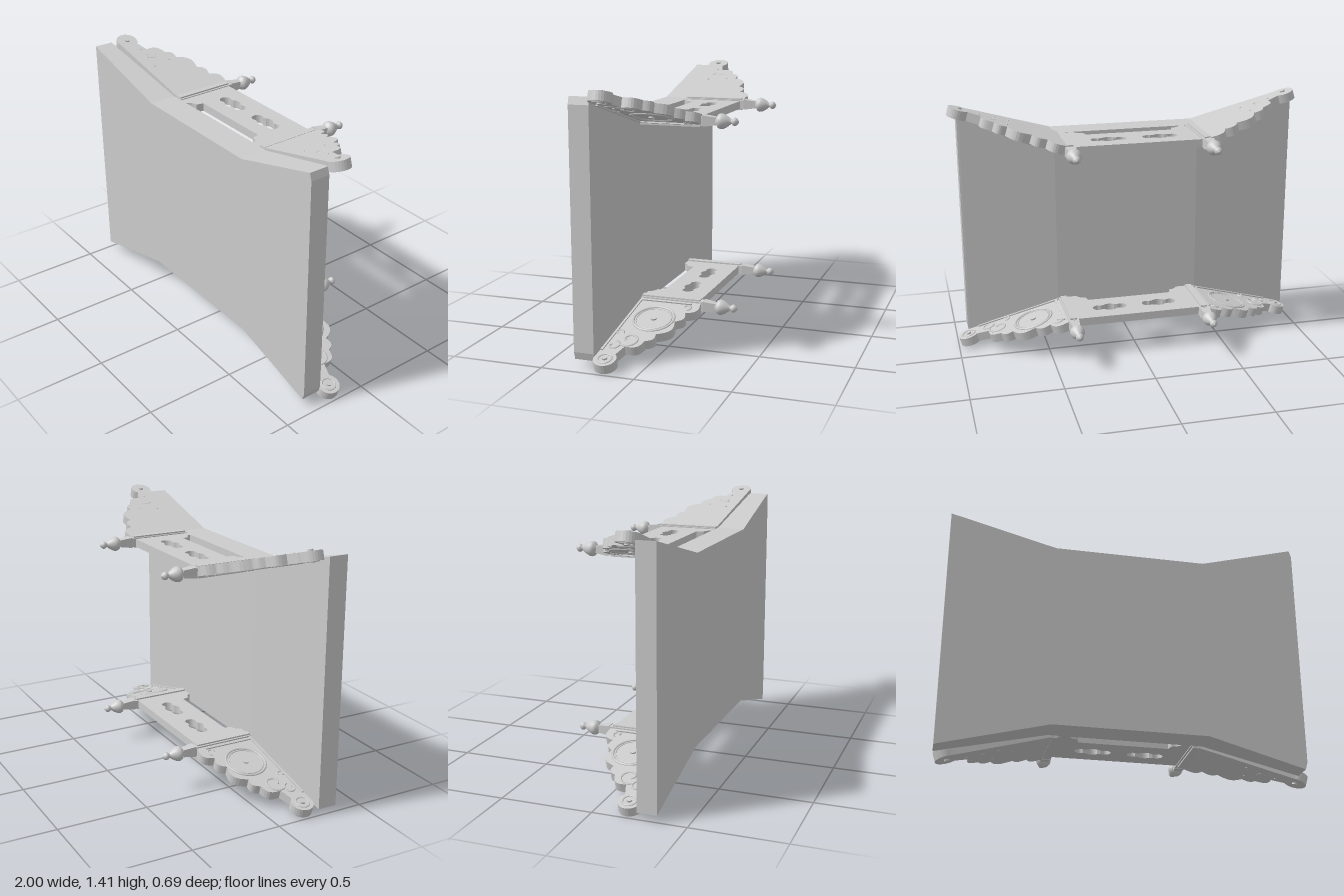
import * as THREE from 'three';

const mat = new THREE.MeshStandardMaterial({ color: 0xcccccc, side: THREE.DoubleSide });
const flatMat = new THREE.MeshStandardMaterial({ color: 0xcccccc, flatShading: true });
const TILT = 0.29; // wing slope in radians

function add(parent, name, geo, x = 0, y = 0, z = 0, m = mat) {
  const mesh = new THREE.Mesh(geo, m);
  mesh.name = name;
  mesh.position.set(x, y, z);
  parent.add(mesh);
  return mesh;
}

// Horizontal plate from a shape drawn in (x, -z), spanning y0..y0+h
function plate(shape, y0, h) {
  const geo = new THREE.ExtrudeGeometry(shape, { depth: h, bevelEnabled: false, curveSegments: 10 });
  return geo.rotateX(-Math.PI / 2).translate(0, y0, 0);
}

// Waisted panel: rectangular sections [x, half height, back z] joined in a row
function panelGeometry() {
  const sections = [[-1, 0.668, 0.24], [-0.42, 0.519, 0.19], [0.41, 0.519, 0.19], [0.928, 0.664, 0.235], [0.94, 0.624, 0.237]];
  const front = 0.345, pos = [];
  const rings = sections.map(([x, h, zb]) => [[x, -h, front], [x, h, front], [x, h, zb], [x, -h, zb]]);
  const quad = (a, b, c, d) => pos.push(...a, ...b, ...c, ...a, ...c, ...d);
  for (let i = 0; i < rings.length - 1; i++) {
    const a = rings[i], b = rings[i + 1];
    for (let k = 0; k < 4; k++) {
      const n = (k + 1) % 4;
      quad(a[k], b[k], b[n], a[n]);
    }
  }
  const e = rings[rings.length - 1], s = rings[0];
  quad(e[0], e[3], e[2], e[1]);
  quad(s[0], s[1], s[2], s[3]);
  const geo = new THREE.BufferGeometry();
  geo.setAttribute('position', new THREE.Float32BufferAttribute(pos, 3));
  geo.computeVertexNormals();
  return geo;
}

// Three-lobed opening
function lobedHole(cx, cy) {
  const p = new THREE.Path();
  p.absarc(cx + 0.068, cy, 0.031, -2.2, 2.2);
  p.absarc(cx, cy, 0.043, 0.75, Math.PI - 0.75);
  p.absarc(cx - 0.068, cy, 0.031, 0.95, -0.95 + 2 * Math.PI);
  p.absarc(cx, cy, 0.043, Math.PI + 0.75, 2 * Math.PI - 0.75);
  p.closePath();
  return p;
}

// Central shelf with a stepped notch against the panel
function shelfGeometry() {
  const s = new THREE.Shape();
  s.moveTo(-0.37, 0.135);
  s.lineTo(0.37, 0.135);
  s.lineTo(0.37, -0.2);
  s.lineTo(0.305, -0.2);
  s.quadraticCurveTo(0.3, -0.16, 0.255, -0.155);
  s.lineTo(0.245, -0.115);
  s.lineTo(-0.245, -0.115);
  s.lineTo(-0.255, -0.155);
  s.quadraticCurveTo(-0.3, -0.16, -0.305, -0.2);
  s.lineTo(-0.37, -0.2);
  s.closePath();
  s.holes.push(lobedHole(-0.145, 0.01), lobedHole(0.145, 0.01));
  return plate(s, -0.045, 0.045);
}

const U = (x) => (x - 0.374) / Math.cos(TILT); // distance along the sloping wing

// Scalloped wing with a round end; side is 1 or -1
function wingGeometry(side) {
  const cusps = [[0.83, 0.115], [0.77, 0.03], [0.705, -0.005], [0.585, -0.066], [0.505, -0.095], [0.42, -0.15]];
  const pts = [[U(0.375), -0.188], [U(0.9), -0.232]];
  for (let i = 0; i <= 18; i++) { // round end
    const a = -1.9 + (i / 18) * 4.3;
    pts.push([U(0.94) + 0.06 * Math.cos(a), -0.178 + 0.06 * Math.sin(a)]);
  }
  cusps.forEach(([x, z], i) => {
    const p = [U(x), -z];
    if (i === 0) { pts.push(p); return; }
    const [px, pz] = cusps[i - 1], q = [U(px), -pz];
    const dx = p[0] - q[0], dy = p[1] - q[1];
    for (let k = 1; k <= 8; k++) { // each scallop bulges outward
      const t = k / 8, b = 0.28 * Math.sin(Math.PI * t);
      pts.push([q[0] + dx * t + dy * b, q[1] + dy * t - dx * b]);
    }
  });
  pts.push([U(0.375), 0.15]);
  return plate(new THREE.Shape(pts.map(([x, y]) => new THREE.Vector2(side * x, y))), -0.05, 0.05);
}

// Curled stem: a spiral ending in a tail
function scrollGeometry(side, x, z, r, start, turn) {
  const pts = [];
  for (let i = 0; i <= 14; i++) {
    const t = i / 14, a = start + turn * t, q = r * (0.25 + 0.75 * t);
    pts.push(new THREE.Vector3(side * (U(x) + q * Math.cos(a)), 0, z + q * Math.sin(a)));
  }
  return new THREE.TubeGeometry(new THREE.CatmullRomCurve3(pts), 30, 0.006, 6);
}

function ring(r, tube) {
  return new THREE.TorusGeometry(r, tube, 6, 36).rotateX(Math.PI / 2);
}

function makeWing(side) {
  const wing = new THREE.Group();
  wing.name = side > 0 ? 'leftWing' : 'rightWing';
  add(wing, 'wingPlate', wingGeometry(side));
  const rx = side * U(0.58), ex = side * U(0.94), y = -0.05;
  // Relief on the inner face
  add(wing, 'rosetteRim', ring(0.108, 0.007), rx, y, 0.053);
  add(wing, 'rosetteInnerRim', ring(0.094, 0.004), rx, y, 0.053);
  add(wing, 'rosetteButton', new THREE.CylinderGeometry(0.016, 0.016, 0.016, 16), rx, y, 0.053);
  add(wing, 'endRing', ring(0.036, 0.005), ex, y, 0.178);
  add(wing, 'endButton', new THREE.CylinderGeometry(0.014, 0.014, 0.068, 14), ex, -0.025, 0.178);
  add(wing, 'scroll', scrollGeometry(side, 0.77, 0.115, 0.062, 0.6, 6.2), 0, y, 0);
  add(wing, 'scroll', scrollGeometry(side, 0.83, 0.18, 0.04, 2.5, -5.5), 0, y, 0);
  add(wing, 'scroll', scrollGeometry(side, 0.72, 0.19, 0.026, 0, 5), 0, y, 0);
  add(wing, 'scroll', scrollGeometry(side, 0.455, -0.085, 0.03, 1, 5), 0, y, 0);
  const len = U(0.88) - U(0.41);
  const trim = add(wing, 'panelTrim', new THREE.BoxGeometry(len, 0.014, 0.012), side * (U(0.41) + len / 2), y, 0.2);
  trim.rotation.y = -side * 0.085;
  add(wing, 'postTrim', new THREE.BoxGeometry(0.012, 0.014, 0.28), side * U(0.425), y, 0.035);
  // Faint beads and stems on the outer face
  for (const [x, z] of [[0.7, 0.05], [0.76, 0.15], [0.84, 0.15], [0.68, 0.16]])
    add(wing, 'bead', new THREE.SphereGeometry(0.006, 8, 6), side * U(x), 0, z);
  add(wing, 'outerScroll', scrollGeometry(side, 0.78, 0.13, 0.04, 0.6, 4), 0, -0.004, 0);
  wing.position.x = side * 0.36;
  wing.rotation.z = side * TILT;
  return wing;
}

function makePost(side) {
  const post = new THREE.Group();
  post.name = side > 0 ? 'leftPost' : 'rightPost';
  add(post, 'postBar', new THREE.BoxGeometry(0.058, 0.05, 0.35), 0, 0, 0.017);
  for (const s of [1, -1]) // raised strip above and below
    add(post, 'postStrip', new THREE.BoxGeometry(0.036, 0.008, 0.33), 0, s * 0.029, 0.025);
  const neck = new THREE.CylinderGeometry(0.02 * Math.SQRT2, 0.029 * Math.SQRT2, 0.068, 4);
  neck.rotateY(Math.PI / 4).rotateX(-Math.PI / 2);
  add(post, 'postNeck', neck, 0, 0, -0.192, flatMat);
  // Turned finial: bulb, waist and small ball
  const profile = [[0, 0], [0.022, 0], [0.025, 0.006], [0.036, 0.012], [0.041, 0.024], [0.04, 0.036], [0.034, 0.05],
    [0.024, 0.066], [0.014, 0.077], [0.012, 0.084], [0.019, 0.09], [0.022, 0.099], [0.019, 0.108], [0.011, 0.116], [0, 0.122]];
  const finial = new THREE.LatheGeometry(profile.map(([r, h]) => new THREE.Vector2(r, h)), 24);
  add(post, 'finial', finial.rotateX(-Math.PI / 2), 0, 0, -0.224);
  post.position.set(side * 0.38, -0.02, 0);
  return post;
}

function makeBracket(name) {
  const bracket = new THREE.Group();
  bracket.name = name;
  add(bracket, 'shelf', shelfGeometry());
  for (const side of [1, -1]) bracket.add(makeWing(side), makePost(side));
  return bracket;
}

export function createModel() {
  const model = new THREE.Group();
  model.name = 'bracketedPanel';
  const mid = 0.707;
  add(model, 'panel', panelGeometry(), 0, mid, 0, flatMat);
  // The lower bracket is the upper one turned half way round
  const upper = makeBracket('upperBracket');
  upper.position.y = mid + 0.518;
  const lower = makeBracket('lowerBracket');
  lower.position.y = mid - 0.518;
  lower.rotation.z = Math.PI;
  model.add(upper, lower);
  return model;
}
